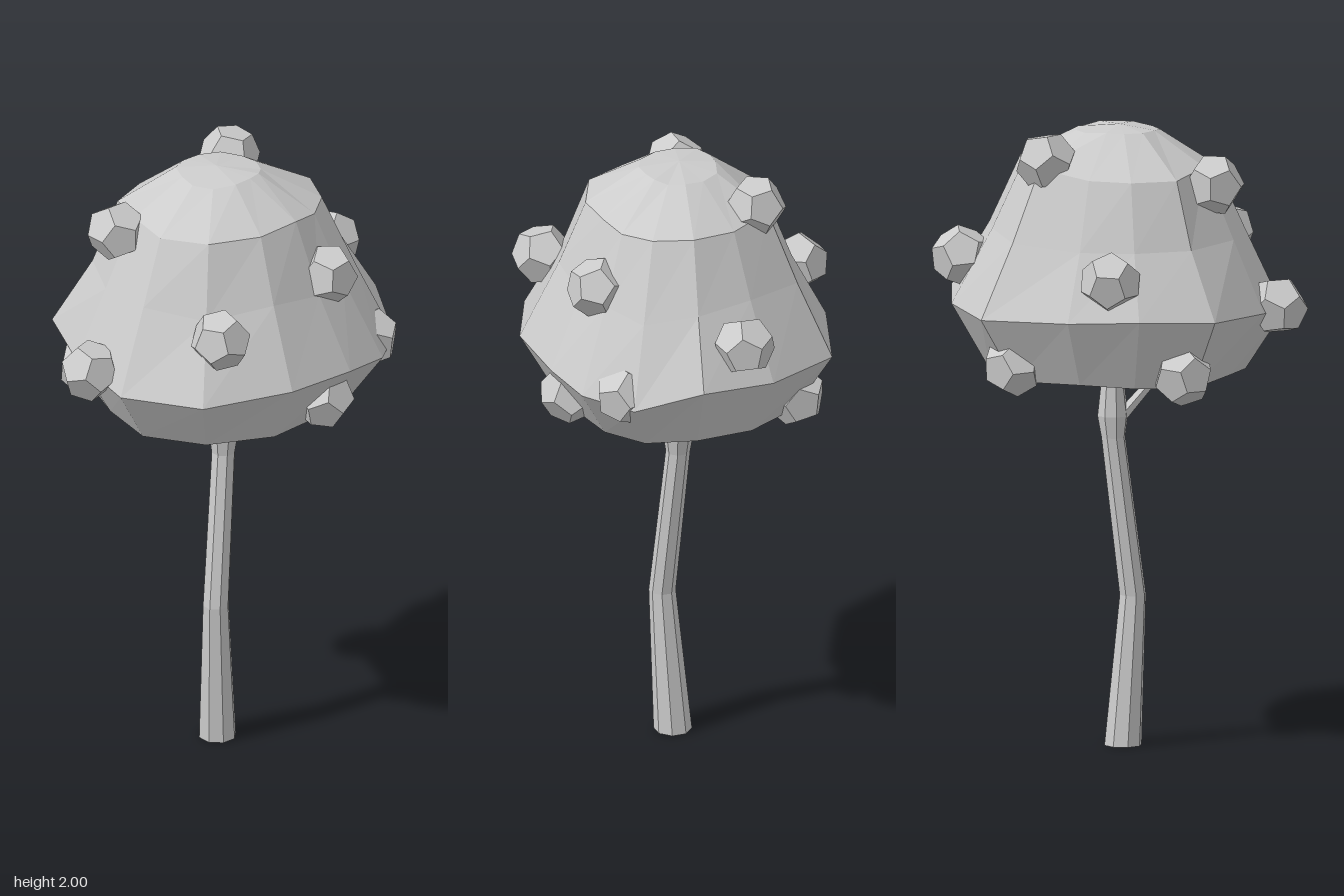
import * as THREE from 'three';

const material = new THREE.MeshStandardMaterial({ color: 0xcccccc, flatShading: true, side: THREE.DoubleSide });

// Skins a stack of equal-length rings (bottom to top) and closes both ends with fans.
function loft(rings, bottom, top) {
  const n = rings[0].length;
  const pos = [];
  const tri = (...points) => points.forEach((p) => pos.push(p.x, p.y, p.z));
  for (let r = 0; r < rings.length - 1; r++) {
    for (let i = 0; i < n; i++) {
      const j = (i + 1) % n;
      const [a, b, c, d] = [rings[r][i], rings[r][j], rings[r + 1][i], rings[r + 1][j]];
      tri(a, c, b);
      tri(b, c, d);
    }
  }
  const last = rings[rings.length - 1];
  for (let i = 0; i < n; i++) {
    const j = (i + 1) % n;
    tri(bottom, rings[0][i], rings[0][j]);
    tri(top, last[j], last[i]);
  }
  const geo = new THREE.BufferGeometry();
  geo.setAttribute('position', new THREE.Float32BufferAttribute(pos, 3));
  geo.computeVertexNormals();
  return geo;
}

// A bent stem with level cross-sections; each station is [x, y, z, radius].
function stem(stations, sides) {
  const rings = stations.map(([x, y, z, r]) =>
    Array.from({ length: sides }, (_, i) => {
      const a = ((i + 0.5) / sides) * Math.PI * 2;
      return new THREE.Vector3(x + r * Math.cos(a), y, z + r * Math.sin(a));
    }));
  const centre = ([x, y, z]) => new THREE.Vector3(x, y, z);
  return loft(rings, centre(stations[0]), centre(stations[stations.length - 1]));
}

function crownGeometry() {
  // Widest outline of the crown: [x, y, z] round from +x towards +z
  const outline = [
    [0.555, 1.45, 0.13], [0.46, 1.38, 0.33], [0.31, 1.39, 0.45], [0.14, 1.41, 0.49],
    [-0.11, 1.42, 0.5], [-0.38, 1.4, 0.38], [-0.51, 1.39, 0.13], [-0.48, 1.42, -0.12],
    [-0.36, 1.43, -0.38], [-0.13, 1.44, -0.47], [0.1, 1.43, -0.46], [0.39, 1.42, -0.37],
    [0.52, 1.43, -0.12],
  ];
  let seed = 7;
  const jitter = (amount) => {
    seed = (seed * 16807) % 2147483647;
    return (seed / 2147483647 - 0.5) * 2 * amount;
  };
  // Levels: height, outline scale, unevenness
  const levels = [[1.21, 0.76, 0.01], [null, 1, 0], [1.65, 0.77, 0.025], [1.87, 0.59, 0.015], [1.985, 0.25, 0.005]];
  const rings = levels.map(([level, s, uneven]) =>
    outline.map(([x, y, z]) => {
      const k = s + jitter(uneven);
      return new THREE.Vector3(x * k, level === null ? y : level + jitter(uneven), z * k);
    }));
  return loft(rings, new THREE.Vector3(0, 1.2, 0), new THREE.Vector3(0, 2, 0));
}

export function createModel() {
  const model = new THREE.Group();
  model.name = 'fruitTree';
  const add = (name, geometry) => {
    const mesh = new THREE.Mesh(geometry, material);
    mesh.name = name;
    model.add(mesh);
    return mesh;
  };

  // Trunk with a kink halfway and a swelling where it forks
  add('trunk', stem([
    [-0.01, 0, 0.018, 0.061],
    [-0.038, 0.48, 0.043, 0.043],
    [0.02, 0.99, 0.012, 0.039],
    [0.022, 1.06, 0.012, 0.05],
    [0.022, 1.2, 0.01, 0.034],
    [0.02, 1.3, 0.01, 0.03],
  ], 8));

  // Side branch
  add('branch', stem([
    [0.01, 1.04, 0.015, 0.03],
    [-0.1, 1.17, 0.045, 0.022],
    [-0.17, 1.26, 0.06, 0.02],
  ], 6));

  add('crown', crownGeometry());

  // Fruits half sunk in the crown
  const fruits = [
    [-0.32, 1.83, -0.11], [0.21, 1.905, -0.18], [-0.51, 1.43, -0.02], [0.5, 1.57, -0.03],
    [-0.285, 1.605, 0.355], [0.17, 1.69, 0.345], [-0.03, 1.56, -0.415], [0.1, 1.3, 0.41],
    [0.3, 1.26, -0.28], [-0.25, 1.25, -0.33], [0.36, 1.4, 0.325],
  ];
  const fruitGeometry = new THREE.DodecahedronGeometry(0.098);
  fruits.forEach(([x, y, z], i) => {
    const fruit = add('fruit' + (i + 1), fruitGeometry);
    fruit.position.set(x, y, z);
    fruit.rotation.set(i * 0.7, i * 1.3, i * 0.4);
  });

  return model;
}
